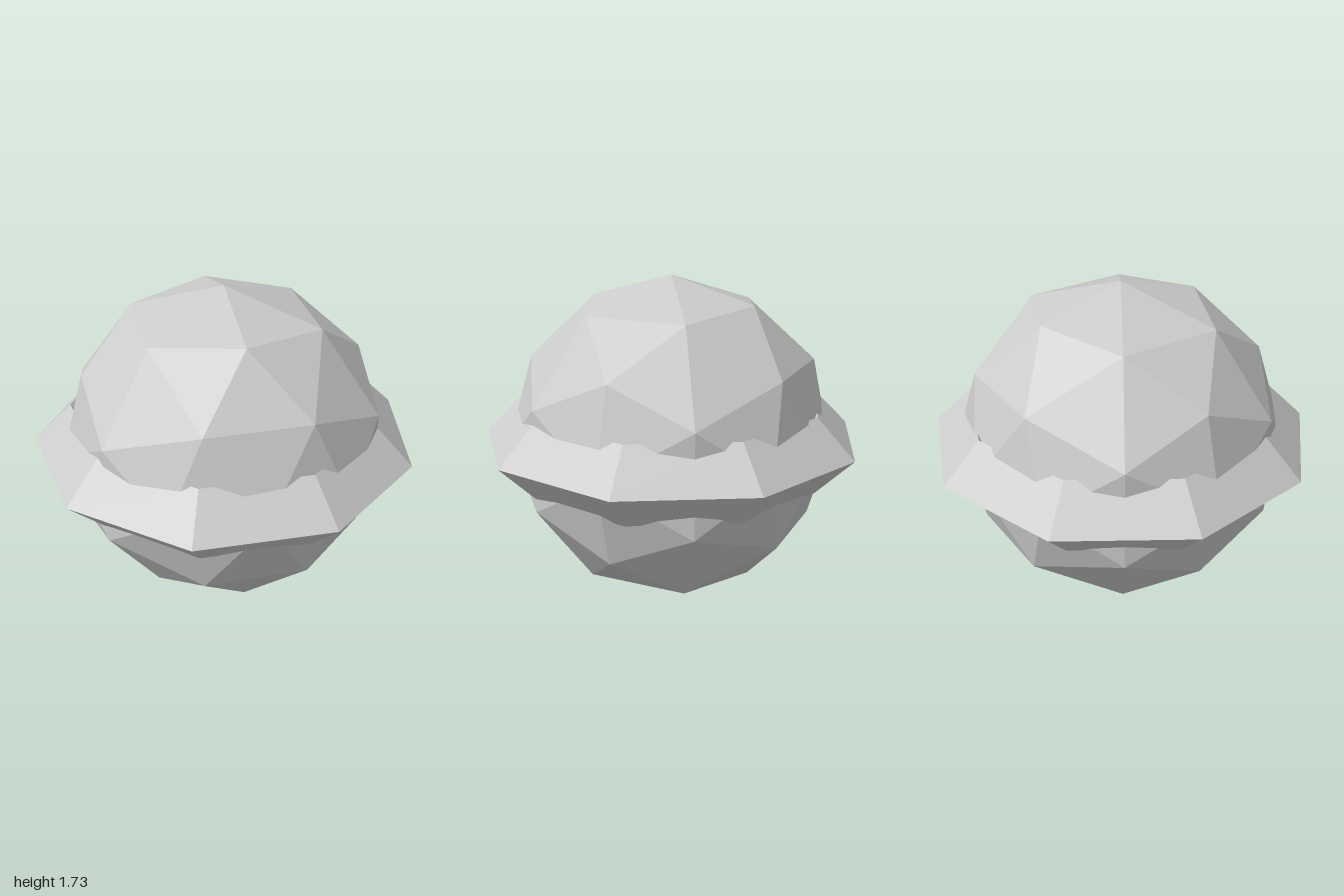
import * as THREE from 'three';

export function createModel() {
  const model = new THREE.Group();
  model.name = 'ringedPlanet';

  const stone = new THREE.MeshStandardMaterial({ color: 0xcccccc, flatShading: true });
  stone.name = 'light grey';

  const radius = 0.863;

  // Faceted globe, standing on its lowest corner
  const globe = new THREE.Mesh(new THREE.IcosahedronGeometry(radius, 1), stone);
  globe.name = 'globe';
  globe.rotation.y = -Math.atan2(0.5, 0.309);

  // Nine-sided ring with a diamond cross-section
  const ringGeometry = new THREE.TorusGeometry(0.812, 0.203, 4, 9);
  ringGeometry.rotateX(Math.PI / 2);
  const ring = new THREE.Mesh(ringGeometry, stone);
  ring.name = 'ring';

  for (const part of [globe, ring]) {
    part.position.set(-0.03, radius, 0);
    model.add(part);
  }
  return model;
}
